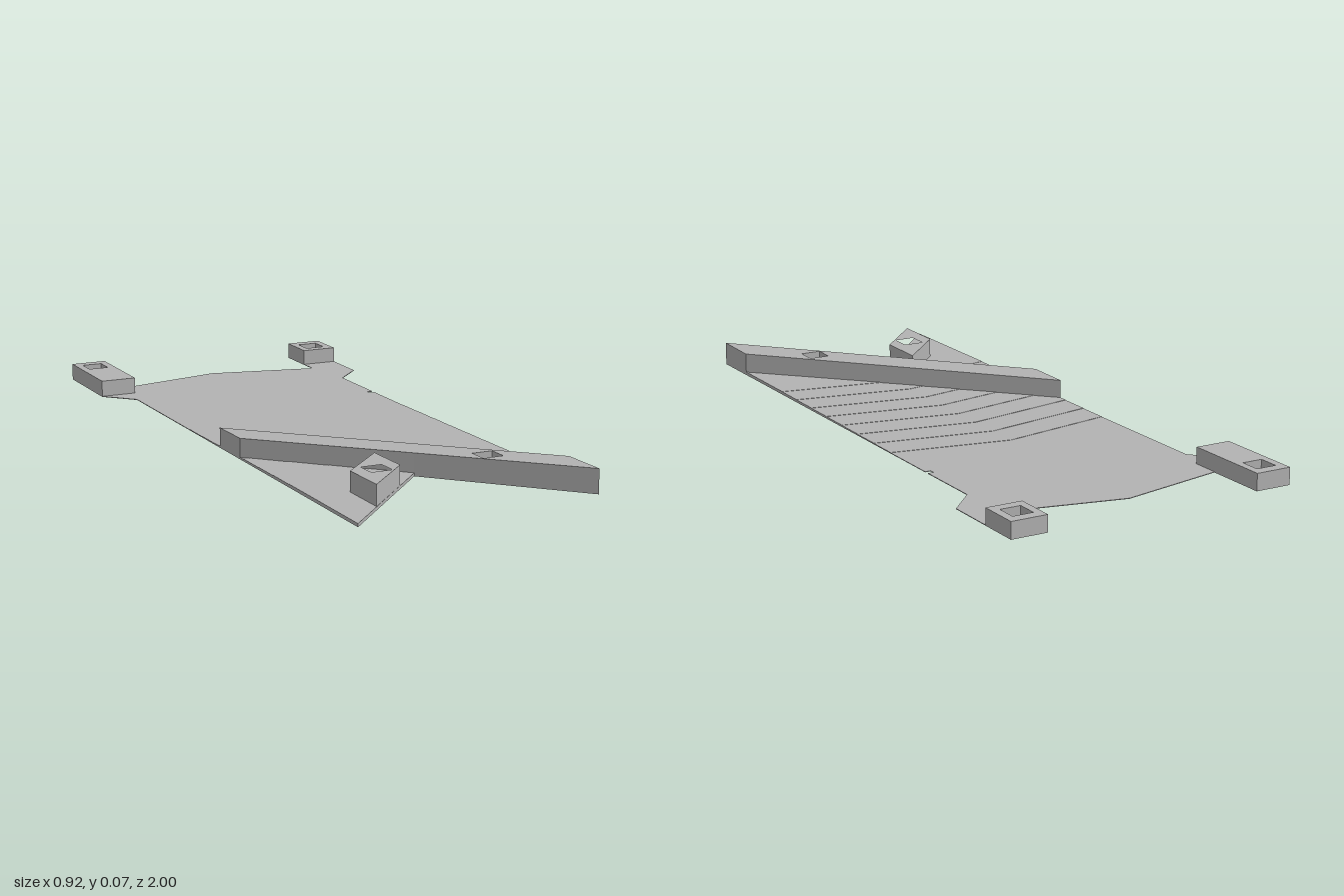
import * as THREE from 'three';

const HALF = 0.373;      // half width of the sheet
const APEX = 0.07;       // how far each chevron points backwards
const BASE = 0.002;      // thickness of the thinnest sheet area
const STEPS = 8;
const STEP_RISE = 0.001;

// Square hole outline centred on (x, z)
function squareHole([x, z], half = 0.0325) {
  return [[x - half, z - half], [x + half, z - half], [x + half, z + half], [x - half, z + half]];
}

// Upright prism over a plan outline of [x, z] points, from y0 to y1.
// y1 may be a function of z for a sloping top.
function prism(outline, holes, y0, y1) {
  const toPoints = (pts) => pts.map(([x, z]) => new THREE.Vector2(x, -z));
  const shape = new THREE.Shape(toPoints(outline));
  for (const h of holes) shape.holes.push(new THREE.Path(toPoints(squareHole(h))));
  const geo = new THREE.ExtrudeGeometry(shape, { depth: 1, bevelEnabled: false });
  geo.rotateX(-Math.PI / 2);
  const pos = geo.attributes.position;
  for (let i = 0; i < pos.count; i++) {
    const top = typeof y1 === 'function' ? y1(pos.getZ(i)) : y1;
    pos.setY(i, pos.getY(i) > 0.5 ? top : y0);
  }
  geo.computeVertexNormals();
  return geo;
}

export function createModel() {
  const model = new THREE.Group();
  model.name = 'notchedPanel';
  const grey = new THREE.MeshStandardMaterial({ color: 0xb2b2b2 });
  grey.name = 'plain grey';

  const add = (name, geo) => {
    const mesh = new THREE.Mesh(geo, grey);
    mesh.name = name;
    model.add(mesh);
  };

  // Side position of each chevron step
  const stepZ = (k) => -0.17 + 0.105 * (k - 1);
  const frontHoles = [[-0.177, 0.72], [0.177, 0.72]];
  const tabHoles = [[-0.402, -0.933], [0.402, -0.933]];

  // Rear sheet with two ears, a gabled back edge and a small side notch
  add('rearSheet', prism([
    [-0.46, -1], [-0.46, -0.71], [-HALF, -0.62],
    [-HALF, stepZ(1)], [0, stepZ(1) - APEX], [HALF, stepZ(1)],
    [HALF, -0.38], [0.355, -0.38], [0.355, -0.397], [HALF, -0.397],
    [HALF, -0.62], [0.46, -0.71], [0.46, -1],
    [0.345, -1], [0.345, -0.8], [0, -0.875], [-0.345, -0.8], [-0.345, -1],
  ], tabHoles, 0, BASE));

  // Chevron bands, each slightly thicker than the one behind; the last is forked
  for (let k = 1; k <= STEPS; k++) {
    const last = k === STEPS;
    const z0 = stepZ(k);
    const sideZ = last ? 1 : stepZ(k + 1);
    const midZ = last ? 0.61 : sideZ - APEX;
    add(last ? 'forkedFront' : 'chevronBand' + k, prism([
      [-HALF, z0], [0, z0 - APEX], [HALF, z0],
      [HALF, sideZ], [0, midZ], [-HALF, sideZ],
    ], last ? frontHoles : [], 0, BASE + k * STEP_RISE));
  }

  // Raised blocks on the rear ears
  add('longRearBlock', prism(
    [[-0.46, -1], [-0.46, -0.71], [-0.345, -0.71], [-0.345, -1]], [tabHoles[0]], BASE, 0.053));
  add('shortRearBlock', prism(
    [[0.345, -1], [0.345, -0.868], [0.46, -0.868], [0.46, -1]], [tabHoles[1]], BASE, 0.051));

  // Diagonal bars with gently sloping tops
  const slope = (z) => 0.061 + 0.0132 * z;
  add('longDiagonalBar', prism(
    [[-HALF, 0.07], [-HALF, 0.222], [0, 0.61], [HALF, 1], [HALF, 0.84]],
    [frontHoles[1]], BASE, slope));
  add('shortDiagonalBar', prism(
    [[-0.255, 0.875], [-0.255, 0.712], [-0.1, 0.555], [-0.1, 0.714]],
    [frontHoles[0]], BASE, slope));

  return model;
}
